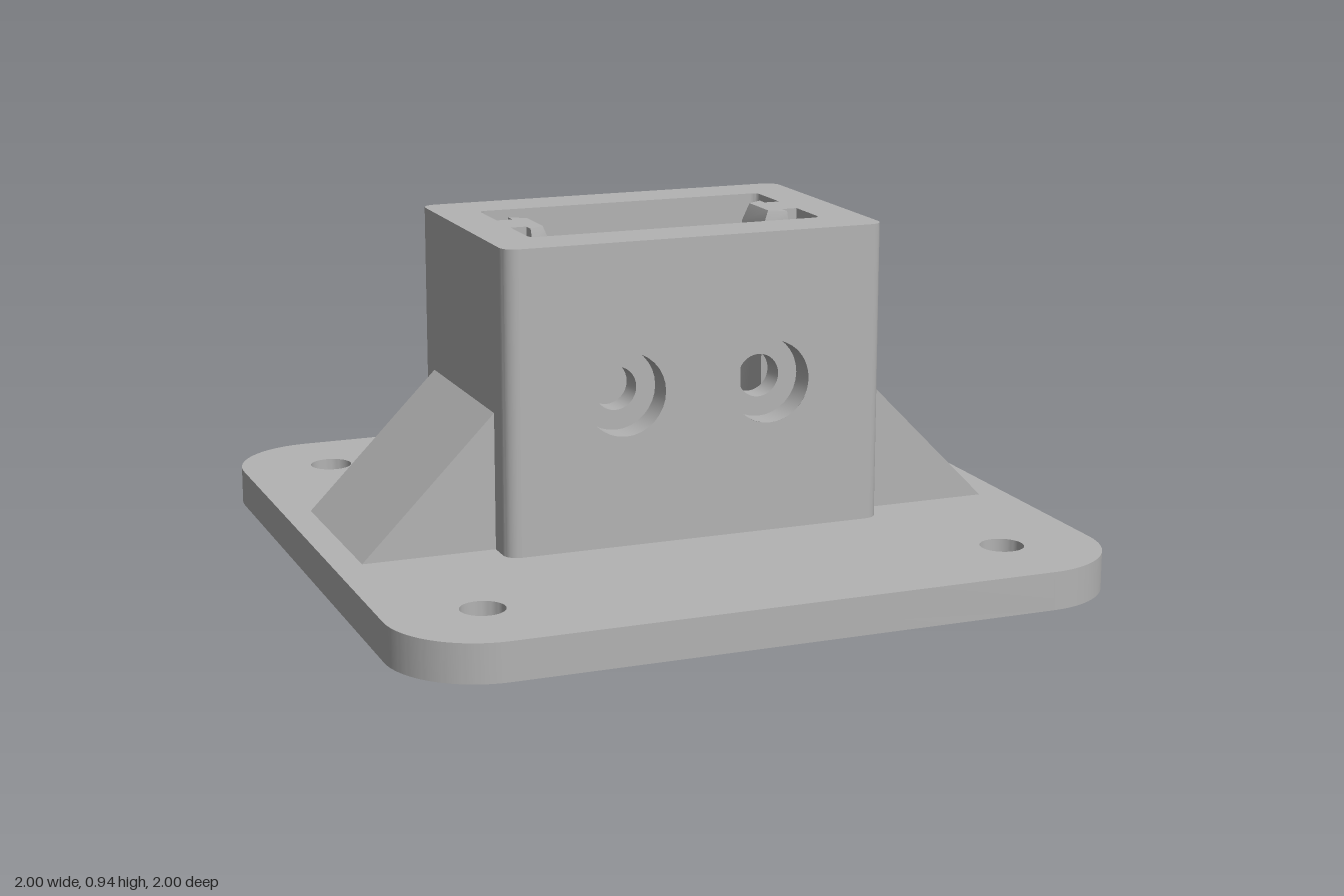
import * as THREE from 'three';
import { toCreasedNormals } from 'three/addons/utils/BufferGeometryUtils.js';

const BASE = 0.105, TOP = 0.94;          // plate top and socket rim heights
const OX = 0.548, OZ = 0.37, OR = 0.04;  // socket outside half sizes, corner radius
const IX = 0.425, IZ = 0.218, IR = 0.02; // cavity half sizes, corner radius
const HOLE_X = 0.21, HOLE_Y = 0.525, HOLE_R = 0.06, BORE_R = 0.115, BORE_DEPTH = 0.08;

// Quarter-round corner points in plan, from angle a0 to a1
function arc(cx, cz, r, a0, a1, n = 6) {
  return Array.from({ length: n + 1 }, (_, i) => {
    const a = a0 + (a1 - a0) * i / n;
    return [cx + r * Math.cos(a), cz + r * Math.sin(a)];
  });
}

// Wall surface joining plan outlines placed at successive heights
function wall(levels) {
  const v = [];
  for (let k = 0; k + 1 < levels.length; k++) {
    const [y0, lo] = levels[k], [y1, hi] = levels[k + 1];
    for (let i = 0; i + 1 < lo.length; i++) {
      const a = [lo[i][0], y0, lo[i][1]], b = [lo[i + 1][0], y0, lo[i + 1][1]];
      const c = [hi[i + 1][0], y1, hi[i + 1][1]], d = [hi[i][0], y1, hi[i][1]];
      v.push(...a, ...b, ...c, ...a, ...c, ...d);
    }
  }
  const g = new THREE.BufferGeometry();
  g.setAttribute('position', new THREE.Float32BufferAttribute(v, 3));
  return toCreasedNormals(g, 0.5);
}

function circleHole(x, y, r) {
  return new THREE.Path().absarc(x, y, r, 0, Math.PI * 2, true);
}

// Rectangular wall panel with the two screw holes
function panel(halfWidth, r) {
  const s = new THREE.Shape([[-1, BASE], [1, BASE], [1, TOP], [-1, TOP]]
    .map(([x, y]) => new THREE.Vector2(x * halfWidth, y)));
  for (const x of [-HOLE_X, HOLE_X]) s.holes.push(circleHole(x, HOLE_Y, r));
  return new THREE.ShapeGeometry(s, 32);
}

// Cavity end at +x with its T-shaped rail; inset chamfers the rail head
function cavityEnd(inset) {
  const half = [
    ...arc(IX - IR, IZ - IR, IR, Math.PI / 2, 0, 4),
    [IX, 0.06], [0.38, 0.06],
    [0.38, 0.115 - inset], [0.315 + inset, 0.073 - inset * 0.4],
  ];
  return [...half.map(([x, z]) => [x, -z]), ...half.reverse()];
}

export function createModel() {
  const model = new THREE.Group();
  model.name = 'mountingSocket';
  const grey = new THREE.MeshStandardMaterial({ color: 0xb3b3b3 });
  grey.name = 'grey plastic';
  const add = (parent, name, geometry) => {
    const m = new THREE.Mesh(geometry, grey);
    m.name = name;
    parent.add(m);
    return m;
  };

  // Base plate with rounded corners and four fixing holes
  const q = Math.PI / 2, r = 0.25;
  const plate = new THREE.Shape();
  [[1, 1], [-1, 1], [-1, -1], [1, -1]].forEach(([x, y], i) =>
    plate.absarc(x * (1 - r), y * (1 - r), r, i * q, (i + 1) * q, false));
  plate.closePath();
  for (const x of [-0.737, 0.737])
    for (const y of [-0.737, 0.737]) plate.holes.push(circleHole(x, y, 0.06));
  const plateGeo = new THREE.ExtrudeGeometry(plate, { depth: BASE, bevelEnabled: false, curveSegments: 24 });
  add(model, 'basePlate', toCreasedNormals(plateGeo.rotateX(-q), 0.5));

  // Outlines shared by the socket surfaces
  const outerEnd = [...arc(OX - OR, OZ - OR, OR, q, 0), ...arc(OX - OR, -OZ + OR, OR, 0, -q)];
  const railLow = cavityEnd(0), railTop = cavityEnd(0.02);
  const closed = (pts) => [...pts, ...pts.map(([x, z]) => [-x, -z])]
    .map(([x, z]) => new THREE.Vector2(x, -z));

  // Socket rim
  const rim = new THREE.Shape(closed(outerEnd));
  rim.holes.push(new THREE.Path(closed(railTop)));
  add(model, 'socketRim', new THREE.ShapeGeometry(rim).rotateX(-q).translate(0, TOP, 0));

  // Each half: one long wall, one end wall, its rail and its gusset
  const bore = [[BORE_R, OZ], [BORE_R, OZ - BORE_DEPTH], [HOLE_R, OZ - BORE_DEPTH], [HOLE_R, IZ]]
    .map(([x, y]) => new THREE.Vector2(x, y));
  const gusset = new THREE.Shape([[OX, BASE], [0.92, BASE], [OX, 0.483]]
    .map(([x, y]) => new THREE.Vector2(x, y)));
  for (const side of [0, 1]) {
    const half = new THREE.Group();
    half.name = side ? 'backRightHalf' : 'frontLeftHalf';
    half.rotation.y = side * Math.PI;
    model.add(half);
    add(half, 'outerWall', panel(OX - OR, BORE_R).translate(0, 0, OZ));
    add(half, 'innerWall', panel(IX - IR, HOLE_R).rotateY(Math.PI).translate(0, 0, IZ));
    add(half, 'endWall', wall([[BASE, outerEnd], [TOP, outerEnd]]));
    add(half, 'cavityRail', wall([[BASE, railLow], [TOP - 0.05, railLow], [TOP, railTop]]));
    for (const x of [-HOLE_X, HOLE_X]) {
      const g = new THREE.LatheGeometry(bore, 32).rotateX(q).translate(x, HOLE_Y, 0);
      add(half, 'counterboredHole', toCreasedNormals(g, 0.5));
    }
    add(half, 'gusset', new THREE.ExtrudeGeometry(gusset, { depth: 0.54, bevelEnabled: false })
      .translate(0, 0, -0.27));
  }
  return model;
}
